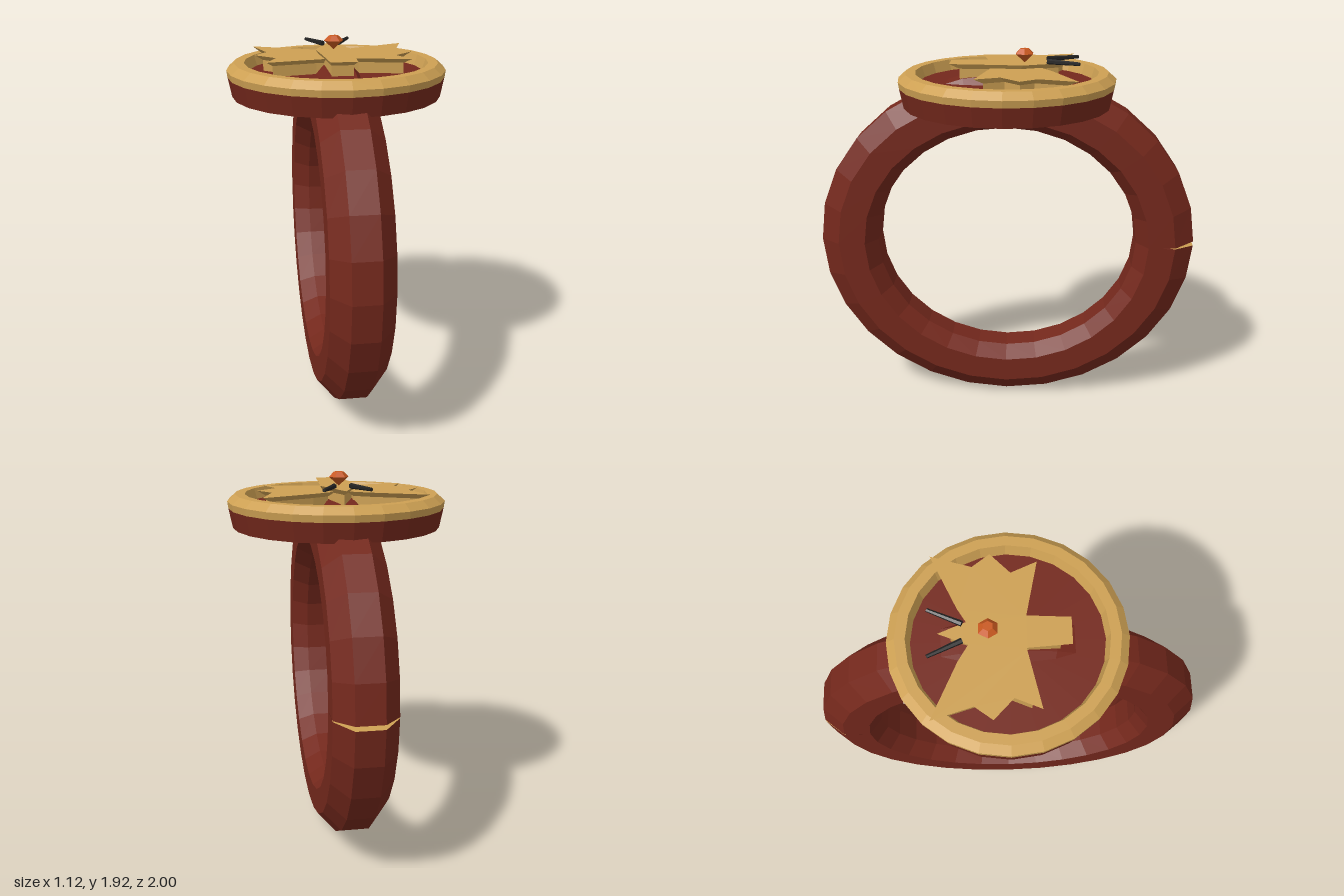
import * as THREE from 'three';

const mat = (color) => new THREE.MeshStandardMaterial({ color, flatShading: true, side: THREE.DoubleSide });
const maroon = mat(0x74281c), gold = mat(0xcda053), black = mat(0x222222), orange = mat(0xc8581f);

const RING_Y = 0.905, SQUASH = 0.9, GAP_R = 0.87, GAP_SLOPE = 0.1;
const gapAt = (r) => Math.max(0, r - GAP_R) * GAP_SLOPE;

function add(parent, name, geometry, material) {
  const mesh = new THREE.Mesh(geometry, material);
  mesh.name = name;
  parent.add(mesh);
  return mesh;
}

const lathe = (pts, segs) => new THREE.LatheGeometry(pts.map((p) => new THREE.Vector2(...p)), segs);

// Octagonal band swept round the x axis, with a small open wedge at the back seam
function bandGeometry() {
  const segs = 28;
  const profile = [[1, -0.07], [1, 0.07], [0.895, 0.155], [0.755, 0.155], [0.695, 0.07],
    [0.695, -0.07], [0.755, -0.155], [0.895, -0.155], [1, -0.07]];
  const g = new THREE.LatheGeometry(profile.map((p) => new THREE.Vector2(...p)), segs, Math.PI);
  g.rotateZ(Math.PI / 2);
  const pos = g.attributes.position, n = profile.length;
  profile.forEach(([r], j) => {
    pos.setY(j, pos.getY(j) - gapAt(r));
    pos.setY(segs * n + j, pos.getY(segs * n + j) + gapAt(r));
  });
  g.scale(1, SQUASH, 1).translate(0, RING_Y, 0);
  g.computeVertexNormals();
  return g;
}

// One gold wall of the seam wedge
function seamWall(side) {
  const pts = [[-0.155, GAP_R], [0.155, GAP_R], [0.155, 0.895], [0.07, 1], [-0.07, 1], [-0.155, 0.895]];
  const g = new THREE.ShapeGeometry(new THREE.Shape(pts.map((p) => new THREE.Vector2(...p))));
  const pos = g.attributes.position;
  for (let i = 0; i < pos.count; i++) {
    const r = pos.getY(i);
    pos.setXYZ(i, pos.getX(i), RING_Y + side * gapAt(r) * SQUASH, -r);
  }
  g.computeVertexNormals();
  return g;
}

// Plate from an (x, z) outline: flat top, undercut bevel, then a straight wall down
function plate(outline, [cx, cz], inset, yTop, yBevel, yBase) {
  const shape = new THREE.Shape(outline.map(([x, z]) => new THREE.Vector2(x, -z)));
  const g = new THREE.ExtrudeGeometry(shape, { depth: 2, steps: 2, bevelEnabled: false });
  g.rotateX(-Math.PI / 2);
  const pos = g.attributes.position;
  for (let i = 0; i < pos.count; i++) {
    const level = Math.round(pos.getY(i));
    const s = level === 2 ? 1 : inset;
    pos.setXYZ(i, cx + (pos.getX(i) - cx) * s, [yBase, yBevel, yTop][level], cz + (pos.getZ(i) - cz) * s);
  }
  g.computeVertexNormals();
  return g;
}

export function createModel() {
  const model = new THREE.Group();
  model.name = 'signetRing';

  // Finger band
  add(model, 'band', bandGeometry(), maroon);
  for (const s of [-1, 1]) add(model, 'seamWall', seamWall(s), gold);

  // Round face: flared base, recessed floor and chamfered rim
  add(model, 'faceBase', lathe([[0, 1.64], [0.535, 1.64], [0.555, 1.74]], 24), maroon);
  add(model, 'faceFloor', lathe([[0.46, 1.755], [0, 1.755]], 24), maroon);
  add(model, 'faceRim', lathe([[0.555, 1.74], [0.56, 1.775], [0.52, 1.81], [0.47, 1.81], [0.45, 1.75]], 24), gold);

  // Winged emblem
  const emblem = new THREE.Group();
  emblem.name = 'emblem';
  model.add(emblem);

  const half = [[0.067, 0.29], [0.08, 0.085], [0.095, -0.085], [0.05, -0.2]];
  const body = [...half, [0, -0.32], ...half.map(([x, z]) => [-x, z]).reverse()];
  add(emblem, 'body', plate(body, [0, 0], 0.82, 1.855, 1.83, 1.75), gold);

  const wing = [[0.03, 0.08], [0.085, 0.085], [0.365, 0.145], [0.31, 0.02], [0.41, -0.075],
    [0.345, -0.16], [0.405, -0.355], [0.13, -0.23], [0.03, -0.17]];
  for (const s of [-1, 1]) {
    const outline = wing.map(([x, z]) => [s * x, z]);
    add(emblem, 'wing', plate(outline, [s * 0.2, -0.08], 0.8, 1.835, 1.81, 1.75), gold);

    // Horn: a thin tapered rod angled outwards
    const horn = new THREE.CylinderGeometry(0.009, 0.014, 0.175, 6);
    horn.rotateX(-Math.PI / 2).rotateY(-s * 0.43);
    add(emblem, 'horn', horn, black).position.set(s * 0.078, 1.867, -0.287);
  }

  // Cut gem
  const gem = lathe([[0, 1.855], [0.05, 1.9], [0.025, 1.925], [0, 1.925]], 6);
  gem.rotateY(Math.PI / 6);
  add(emblem, 'gem', gem, orange).position.z = -0.09;

  return model;
}
